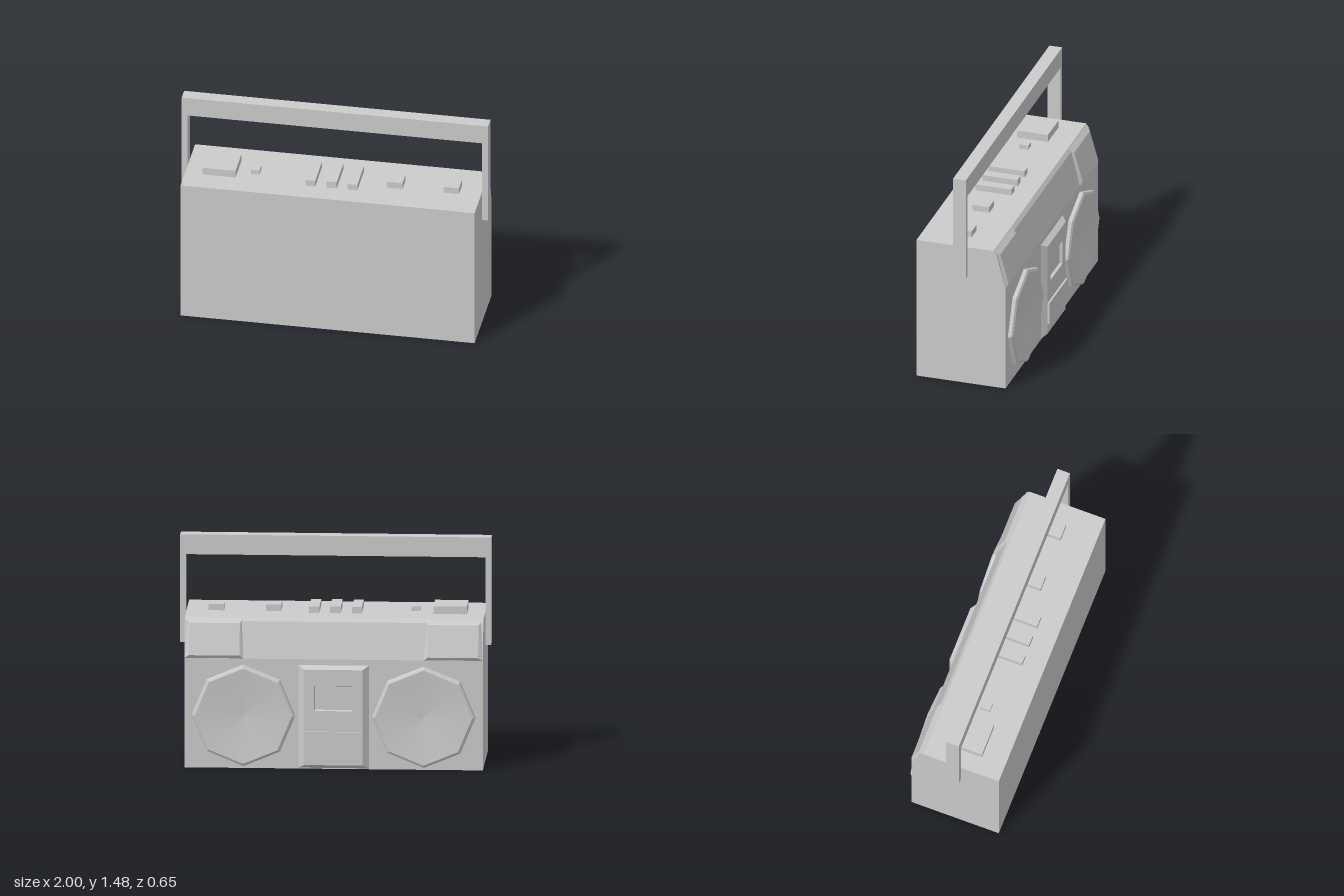
import * as THREE from 'three';

const flat = new THREE.MeshStandardMaterial({ color: 0xcccccc, flatShading: true });
const smooth = new THREE.MeshStandardMaterial({ color: 0xcccccc });

function add(parent, name, geometry, material = flat) {
  const mesh = new THREE.Mesh(geometry, material);
  mesh.name = name;
  parent.add(mesh);
  return mesh;
}

// Box given by its limits on each axis
function block(x0, x1, y0, y1, z0, z1) {
  return new THREE.BoxGeometry(x1 - x0, y1 - y0, z1 - z0)
    .translate((x0 + x1) / 2, (y0 + y1) / 2, (z0 + z1) / 2);
}

// Rectangular ring facing -z; lower and upper edges may differ in depth
function ring(x0, x1, y0, y1, zLow, zHigh = zLow) {
  return [[x0, y0, zLow], [x0, y1, zHigh], [x1, y1, zHigh], [x1, y0, zLow]];
}

// Joins successive rings with quads and closes the last one
function loft(rings) {
  const pos = [];
  const quad = (a, b, c, d) => pos.push(...a, ...b, ...c, ...a, ...c, ...d);
  for (let r = 0; r < rings.length - 1; r++) {
    const a = rings[r], b = rings[r + 1];
    for (let i = 0; i < 4; i++) {
      const j = (i + 1) % 4;
      quad(a[i], a[j], b[j], b[i]);
    }
  }
  quad(...rings[rings.length - 1]);
  const g = new THREE.BufferGeometry();
  g.setAttribute('position', new THREE.Float32BufferAttribute(pos, 3));
  g.computeVertexNormals();
  return g;
}

function polygon(points) {
  return new THREE.Shape(points.map(([x, y]) => new THREE.Vector2(x, y)));
}

// Eight-sided turned part whose axis points along -z
function turned(points) {
  return new THREE.LatheGeometry(points.map(([r, h]) => new THREE.Vector2(r, h)), 8)
    .rotateX(-Math.PI / 2);
}

export function createModel() {
  const model = new THREE.Group();
  model.name = 'portableStereo';

  // Body: side profile (depth toward -z, height) swept across the width
  const profile = polygon([
    [-0.325, 0], [0.276, 0], [0.276, 0.717], [0.215, 0.95], [0.195, 0.975], [-0.325, 0.975],
  ]);
  add(model, 'body', new THREE.ExtrudeGeometry(profile, { depth: 1.92, bevelEnabled: false })
    .rotateY(Math.PI / 2).translate(-0.96, 0, 0));

  // Carrying handle
  const arch = polygon([
    [-1, 0.77], [-0.962, 0.77], [-0.962, 1.345], [0.962, 1.345],
    [0.962, 0.77], [1, 0.77], [1, 1.475], [-1, 1.475],
  ]);
  add(model, 'handle', new THREE.ExtrudeGeometry(arch, { depth: 0.086, bevelEnabled: false })
    .translate(0, 0, -0.021));

  // Raised corner panels on the sloping face, and the speakers below them
  for (const [side, s] of [['left', 1], ['right', -1]]) {
    const span = (a, b) => (s > 0 ? [a, b] : [-b, -a]);
    add(model, side + 'SlopePanel', loft([
      ring(...span(0.58, 0.96), 0.717, 0.974, -0.275, -0.194),
      ring(...span(0.605, 0.93), 0.738, 0.94, -0.288, -0.231),
    ]));

    const speaker = new THREE.Group();
    speaker.name = side + 'Speaker';
    speaker.position.set(s * 0.58, 0.345, -0.275);
    add(speaker, 'speakerRim', turned([[0.333, 0], [0.328, 0.024], [0.312, 0.033]]));
    add(speaker, 'speakerCone', turned([[0.312, 0.033], [0.16, 0.018], [0, 0.004]]), smooth);
    model.add(speaker);
  }

  // Cassette deck with bevelled surround and recessed window
  add(model, 'cassetteDeck', loft([
    ring(-0.228, 0.228, 0.005, 0.68, -0.275),
    ring(-0.188, 0.188, 0.03, 0.655, -0.309),
    ring(-0.125, 0.125, 0.385, 0.55, -0.309),
    ring(-0.12, 0.12, 0.39, 0.545, -0.29),
  ]));
  add(model, 'cassetteKeyStrip', block(-0.186, 0.186, 0.1, 0.25, -0.322, -0.3));

  // Controls on the top: x limits, top height, z limits
  const controls = [
    ['tuningPad', -0.845, -0.63, 1.025, -0.045, 0.165],
    ['smallButton', -0.54, -0.485, 1.005, 0.04, 0.103],
    ['slider', -0.17, -0.107, 1.017, -0.058, 0.183],
    ['slider', -0.035, 0.033, 1.02, -0.055, 0.18],
    ['slider', 0.103, 0.168, 1.017, -0.058, 0.183],
    ['button', 0.35, 0.45, 1.017, 0, 0.112],
    ['button', 0.717, 0.818, 1.017, 0, 0.108],
  ];
  for (const [name, x0, x1, top, z0, z1] of controls) {
    add(model, name, block(x0, x1, 0.965, top, z0, z1));
  }

  return model;
}
